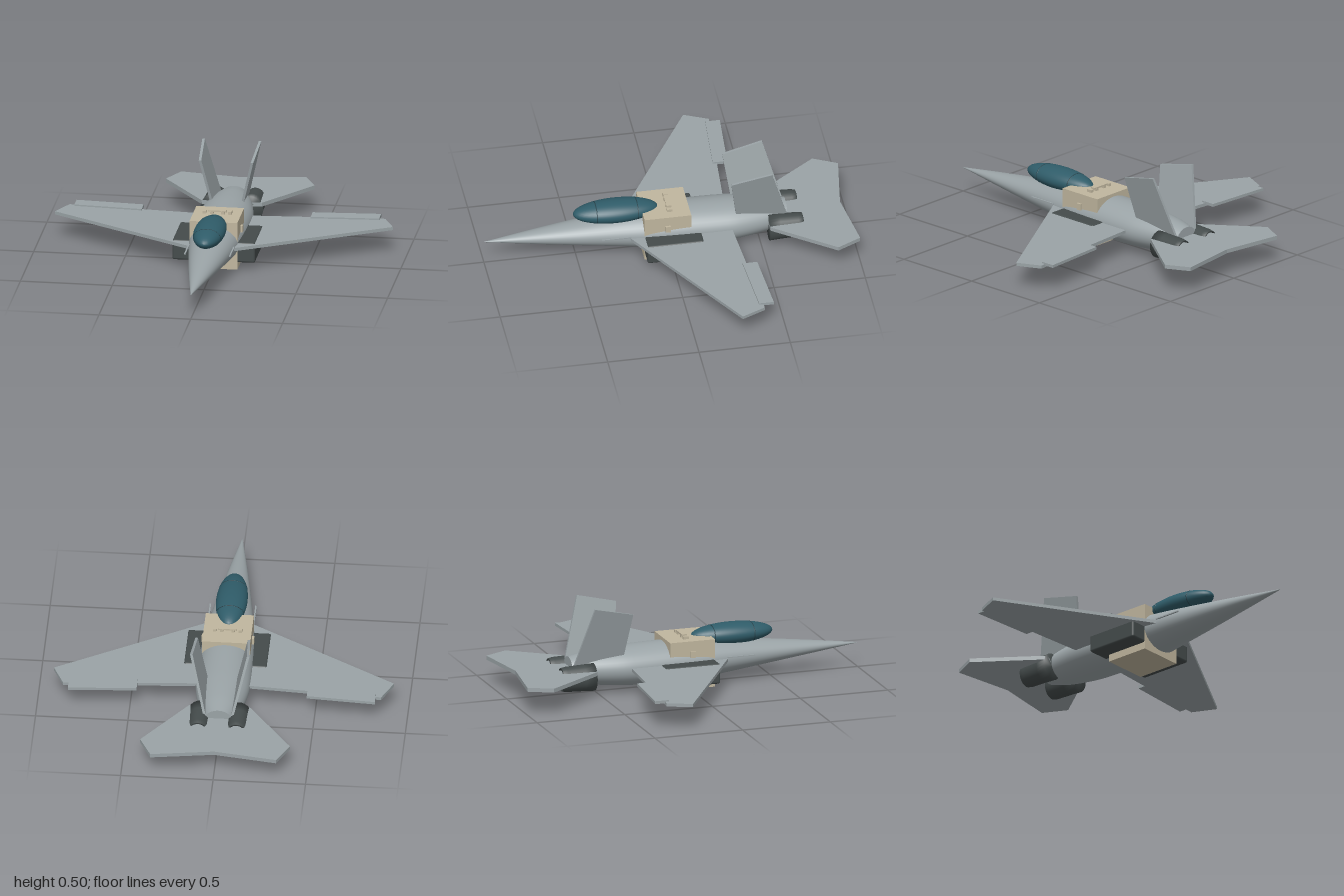
import * as THREE from 'three';
import { RoundedBoxGeometry } from 'three/addons/geometries/RoundedBoxGeometry.js';
import { ParametricGeometry } from 'three/addons/geometries/ParametricGeometry.js';

const mat = (color) => new THREE.MeshStandardMaterial({ color });
const grey = mat(0x9aa3a6);
const dark = mat(0x444b4b);
const beige = mat(0xc0b69e);
const teal = mat(0x2f5c69);
const frame = mat(0x27444d);

export function createModel() {
  const model = new THREE.Group();
  model.name = 'jetAircraft';

  const add = (name, geometry, material, x = 0, y = 0, z = 0) => {
    const mesh = new THREE.Mesh(geometry, material);
    mesh.name = name;
    mesh.position.set(x, y, z);
    model.add(mesh);
    return mesh;
  };
  const box = (name, material, w, h, d, x, y, z) =>
    add(name, new THREE.BoxGeometry(w, h, d), material, x, y, z);
  const outline = (points) => new THREE.Shape(points.map(([a, b]) => new THREE.Vector2(a, b)));

  // Flat horizontal plate from an (x, z) outline, top surface at y = top
  const plate = (name, points, top, thickness) => {
    const g = new THREE.ExtrudeGeometry(outline(points), { depth: thickness, bevelEnabled: false });
    g.rotateX(Math.PI / 2);
    return add(name, g, grey, 0, top, 0);
  };

  // Fuselage: elliptical sections from tail to nose [z, half width, top, bottom]
  const sections = [
    [-0.65, 0.075, 0.205, 0.075],
    [-0.53, 0.115, 0.225, 0.045],
    [-0.35, 0.146, 0.24, 0.025],
    [-0.1, 0.147, 0.247, 0.018],
    [0.1, 0.138, 0.24, 0.027],
    [0.25, 0.12, 0.228, 0.045],
    [0.5, 0.085, 0.2, 0.075],
    [0.75, 0.045, 0.17, 0.105],
    [1.0, 0.001, 0.137, 0.135],
  ];
  const widths = new THREE.CatmullRomCurve3(sections.map(([z, w]) => new THREE.Vector3(w, 0, z)), false, 'catmullrom', 0.4);
  const heights = new THREE.CatmullRomCurve3(sections.map(([z, , t, b]) => new THREE.Vector3(t, b, z)), false, 'catmullrom', 0.4);
  const hull = new ParametricGeometry((u, v, target) => {
    const a = u * Math.PI * 2;
    const p = widths.getPoint(v);
    const q = heights.getPoint(v);
    target.set(
      p.x * Math.cos(a),
      (q.x + q.y) / 2 + ((q.x - q.y) / 2) * Math.sin(a),
      p.z
    );
  }, 40, 48);
  add('fuselage', hull, grey);
  const tailCap = add('fuselageTailCap', new THREE.CircleGeometry(1, 40), grey, 0, 0.14, -0.65);
  tailCap.scale.set(0.075, 0.065, 1);
  tailCap.rotation.y = Math.PI;

  // Canopy with two thin hoops
  const canopy = add('canopy', new THREE.SphereGeometry(1, 40, 24), teal, 0, 0.256, 0.28);
  canopy.scale.set(0.085, 0.059, 0.232);
  for (const z of [0.39, 0.165]) {
    const r = Math.sqrt(1 - ((z - 0.28) / 0.232) ** 2);
    const hoop = add('canopyHoop', new THREE.TorusGeometry(1, 0.02, 6, 40), frame, 0, 0.256, z);
    hoop.scale.set(0.085 * r, 0.059 * r, 0.15);
  }

  // Middle block wrapped round the fuselage, with a segmented handle on top
  box('centreBlock', beige, 0.26, 0.265, 0.256, 0, 0.1325, 0.015);
  box('handleBar', beige, 0.1, 0.008, 0.028, 0, 0.281, -0.005);
  for (const x of [-0.07, -0.03, 0.03, 0.07]) {
    box('handleFoot', beige, 0.018, 0.016, 0.03, x, 0.272, -0.005);
  }

  // One-piece tailplane
  plate('tailplane', [
    [0, -0.95], [0.34, -1], [0.405, -0.87], [0.165, -0.54],
    [-0.165, -0.54], [-0.405, -0.87], [-0.34, -1],
  ], 0.153, 0.022);

  for (const s of [1, -1]) {
    const side = s > 0 ? 'left' : 'right';
    const mirror = (points) => points.map(([x, z]) => [x * s, z]);

    // Main wing and its raised trailing flap
    plate(side + 'Wing', mirror([
      [0.05, 0.26], [0.12, 0.22], [0.92, -0.255], [0.86, -0.385], [0.05, -0.33],
    ]), 0.148, 0.018);
    plate(side + 'Flap', mirror([
      [0.46, -0.335], [0.83, -0.36], [0.83, -0.44], [0.46, -0.415],
    ]), 0.156, 0.016);
    box(side + 'Strake', grey, 0.008, 0.006, 0.16, s * 0.123, 0.154, 0.295);

    // Air intake
    add(side + 'Intake', new RoundedBoxGeometry(0.135, 0.113, 0.31, 3, 0.012), dark, s * 0.158, 0.0965, -0.013);

    // Side clip on the middle block
    box(side + 'Clip', beige, 0.02, 0.036, 0.028, s * 0.132, 0.193, 0.015);

    // Exhaust nozzle, with a recessed end
    const profile = [
      [0, -0.54], [0.066, -0.54], [0.063, -0.6], [0.06, -0.7], [0.056, -0.725], [0.05, -0.728], [0.046, -0.7], [0, -0.7],
    ].map(([r, z]) => new THREE.Vector2(r, -z));
    const g = new THREE.LatheGeometry(profile, 28);
    g.rotateX(-Math.PI / 2);
    const nozzle = add(side + 'Nozzle', g, dark, s * 0.104, 0.11, 0);
    nozzle.scale.y = 1.15;

    // Swept fin, sheared outward with height
    const fin = new THREE.ExtrudeGeometry(
      outline([[-0.37, 0.17], [-0.33, 0.45], [-0.55, 0.5], [-0.645, 0.17]]),
      { depth: 0.014, bevelEnabled: false }
    );
    fin.rotateY(-Math.PI / 2);
    const pos = fin.attributes.position;
    for (let i = 0; i < pos.count; i++) {
      pos.setX(i, pos.getX(i) + 0.007 + s * (0.083 + (pos.getY(i) - 0.2) * 0.235));
    }
    fin.computeVertexNormals();
    add(side + 'Fin', fin, grey);
  }

  return model;
}
